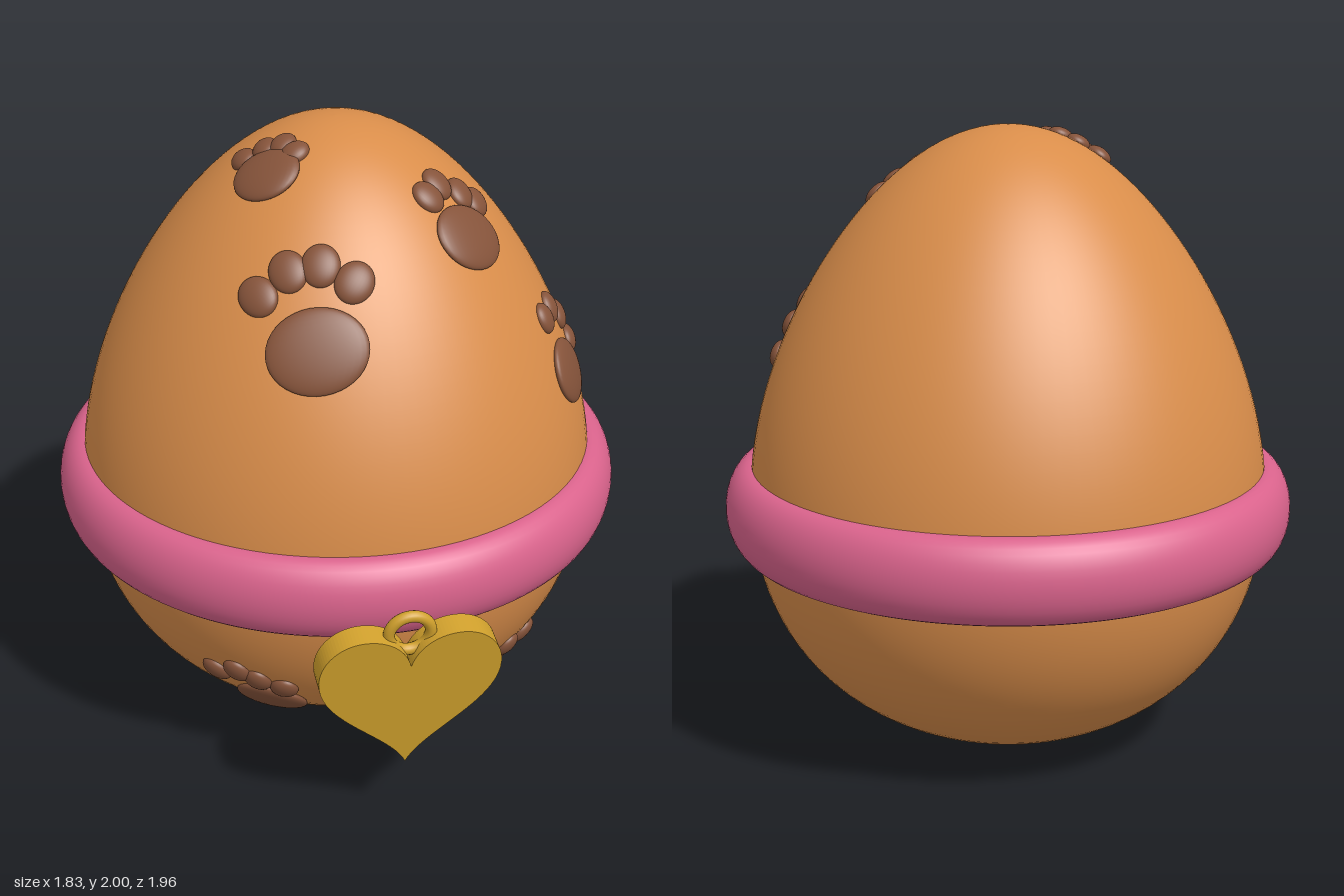
import * as THREE from 'three';

const mat = (name, color) => {
  const m = new THREE.MeshStandardMaterial({ color });
  m.name = name;
  return m;
};

const EGG_Z = -0.06;

// Egg outline: a sphere tapered towards the top; c runs from -1 (bottom) to 1 (top)
const eggRadius = (c) => 0.8166 * Math.sqrt(Math.max(0, 1 - c * c)) * (1 - 0.217 * c);

// Point on the egg at an azimuth (degrees from the front, towards +x) and a height
function onEgg([deg, y]) {
  const a = THREE.MathUtils.degToRad(deg);
  const r = eggRadius(y - 1);
  return new THREE.Vector3(r * Math.sin(a), y, r * Math.cos(a));
}

function eggNormal([deg, y]) {
  const a = THREE.MathUtils.degToRad(deg);
  const e = 0.005;
  const slope = (eggRadius(y - 1 + e) - eggRadius(y - 1 - e)) / (2 * e);
  return new THREE.Vector3(Math.sin(a), -slope, Math.cos(a)).normalize();
}

// Each paw print: pad spot, pad half width and half height, four toe spots
const PAWS = [
  { pad: [-32, 1.5], w: 0.155, h: 0.13, toes: [[-51.5, 1.62], [-43.3, 1.69], [-32.3, 1.71], [-21, 1.67]] },
  { pad: [28.5, 1.71], w: 0.13, h: 0.107, toes: [[21, 1.83], [32, 1.845], [42, 1.8], [48, 1.76]] },
  { pad: [48, 1.22], w: 0.12, h: 0.105, toes: [[45.5, 1.405], [53, 1.405], [59.5, 1.345], [61.5, 1.25]] },
  { pad: [-70.7, 1.89], w: 0.11, h: 0.095, toes: [[-97.7, 1.893], [-90, 1.93], [-78.7, 1.95], [-62, 1.944]] },
  { pad: [-46, 0.26], w: 0.12, h: 0.105, toes: [[-58.5, 0.38], [-51.9, 0.41], [-47, 0.38], [-40.5, 0.355]] },
  { pad: [25.6, 0.235], w: 0.12, h: 0.1, toes: [[16, 0.32], [24.3, 0.345], [32.9, 0.34], [40, 0.28]] },
];

// Flattened ellipsoid lying on the egg, its local y pointing along "up"
function blob(name, spot, up, w, h, t, geometry, material) {
  const n = eggNormal(spot);
  const yAxis = up.clone().addScaledVector(n, -up.dot(n)).normalize();
  const xAxis = new THREE.Vector3().crossVectors(yAxis, n);
  const mesh = new THREE.Mesh(geometry, material);
  mesh.name = name;
  mesh.quaternion.setFromRotationMatrix(new THREE.Matrix4().makeBasis(xAxis, yAxis, n));
  mesh.position.copy(onEgg(spot));
  mesh.scale.set(w, h, t);
  return mesh;
}

function makePaw({ pad, w, h, toes }, geometry, material) {
  const paw = new THREE.Group();
  paw.name = 'pawPrint';
  const centre = onEgg(pad);
  const up = new THREE.Vector3();
  toes.forEach((t) => up.add(onEgg(t).sub(centre)));
  paw.add(blob('pawPad', pad, up, w, h, 0.028, geometry, material));
  for (const t of toes) {
    const out = onEgg(t).sub(centre);
    paw.add(blob('pawToe', t, out, w * 0.38, w * 0.43, 0.026, geometry, material));
  }
  return paw;
}

export function createModel() {
  const eggMat = mat('caramel shell', 0xd98d4a);
  const pawMat = mat('brown paw', 0x85533a);
  const collarMat = mat('pink collar', 0xda638c);
  const goldMat = mat('gold', 0xd0a02c);

  const model = new THREE.Group();
  model.name = 'pawPrintEgg';
  const body = new THREE.Group();
  body.name = 'eggBody';
  body.position.z = EGG_Z;
  model.add(body);

  // Shell
  const profile = [];
  for (let i = 0; i <= 64; i++) {
    const c = -Math.cos((i / 64) * Math.PI);
    profile.push(new THREE.Vector2(eggRadius(c), 1 + c));
  }
  const egg = new THREE.Mesh(new THREE.LatheGeometry(profile, 96), eggMat);
  egg.name = 'eggShell';
  body.add(egg);

  // Paw prints
  const blobGeo = new THREE.SphereGeometry(1, 32, 20);
  PAWS.forEach((p) => body.add(makePaw(p, blobGeo, pawMat)));

  // Collar: a ring with a tall oval section
  const collarGeo = new THREE.TorusGeometry(0.83, 0.085, 32, 128);
  collarGeo.rotateX(Math.PI / 2);
  collarGeo.scale(1, 0.135 / 0.085, 1);
  const collar = new THREE.Mesh(collarGeo, collarMat);
  collar.name = 'collar';
  collar.position.y = 0.785;
  body.add(collar);

  // Heart tag, hanging from the collar with its origin at the tip
  const tag = new THREE.Group();
  tag.name = 'heartTag';
  tag.position.set(-0.225, 0.25, 0.82);
  tag.rotation.set(0.15, -0.26, 0, 'YXZ');
  model.add(tag);

  const shape = new THREE.Shape();
  shape.moveTo(0, 0);
  shape.bezierCurveTo(0.05, 0.12, 0.28, 0.21, 0.28, 0.37);
  shape.bezierCurveTo(0.28, 0.45, 0.22, 0.51, 0.145, 0.51);
  shape.bezierCurveTo(0.07, 0.51, 0.015, 0.46, 0, 0.395);
  shape.bezierCurveTo(-0.015, 0.46, -0.07, 0.51, -0.145, 0.51);
  shape.bezierCurveTo(-0.22, 0.51, -0.28, 0.45, -0.28, 0.37);
  shape.bezierCurveTo(-0.28, 0.21, -0.05, 0.12, 0, 0);
  const heartGeo = new THREE.ExtrudeGeometry(shape, { depth: 0.08, bevelEnabled: false, curveSegments: 20 });
  heartGeo.translate(0, 0, -0.04);
  const heart = new THREE.Mesh(heartGeo, goldMat);
  heart.name = 'heart';
  tag.add(heart);

  const ring = new THREE.Mesh(new THREE.TorusGeometry(0.064, 0.018, 16, 40), goldMat);
  ring.name = 'tagRing';
  ring.position.set(0, 0.495, 0);
  tag.add(ring);

  return model;
}
